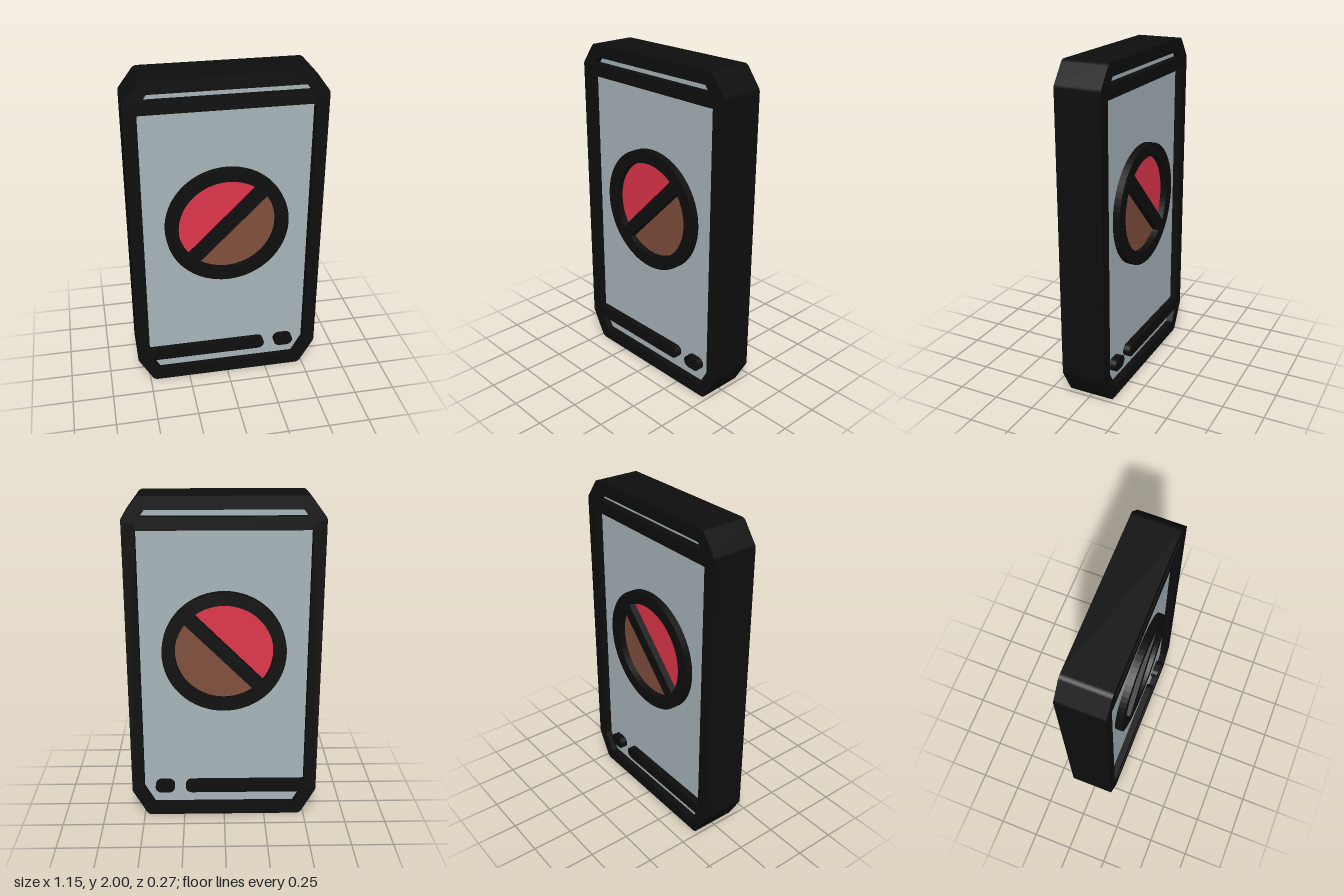
import * as THREE from 'three';

const HALF_DEPTH = 0.137;  // raised black outlines
const PANEL_DEPTH = 0.095; // recessed faces
const R = 0.038;           // half width of the outlines

const paint = (color) => new THREE.MeshStandardMaterial({ color });

// Extrudes a shape evenly to both sides of z = 0
function slab(name, shape, halfDepth, material, curveSegments = 8) {
  const geometry = new THREE.ExtrudeGeometry(shape, { depth: 2 * halfDepth, bevelEnabled: false, curveSegments });
  geometry.translate(0, 0, -halfDepth);
  const mesh = new THREE.Mesh(geometry, material);
  mesh.name = name;
  return mesh;
}

// Outline around a convex counter-clockwise polygon: round outside, mitred inside
function outlineShape(points) {
  const n = points.length;
  const normals = points.map((p, i) => {
    const d = points[(i + 1) % n].clone().sub(p).normalize();
    return new THREE.Vector2(d.y, -d.x);
  });
  const shape = new THREE.Shape();
  const inner = [];
  points.forEach((p, i) => {
    const a = normals[(i + n - 1) % n], b = normals[i];
    shape.absarc(p.x, p.y, R, a.angle(), b.angle(), false);
    inner.push(p.clone().addScaledVector(a.clone().add(b), -R / (1 + a.dot(b))));
  });
  shape.holes.push(new THREE.Path(inner.reverse()));
  return shape;
}

// Horizontal bar with round ends
function barShape(x0, x1, y) {
  const shape = new THREE.Shape();
  shape.absarc(x1, y, R, -Math.PI / 2, Math.PI / 2, false);
  shape.absarc(x0, y, R, Math.PI / 2, Math.PI * 1.5, false);
  return shape;
}

export function createModel() {
  const group = new THREE.Group();
  const black = paint(0x0e0e0e);

  // Chamfered body: pale panel inside a thick frame
  const half = [[0.455, 0.038], [0.535, 0.18], [0.535, 1.862], [0.46, 1.962]];
  const path = [...half, ...half.map(([x, y]) => [-x, y]).reverse()]
    .map(([x, y]) => new THREE.Vector2(x, y));
  group.add(slab('panel', new THREE.Shape(path), PANEL_DEPTH, paint(0xa8b5bb)));
  group.add(slab('frame', outlineShape(path), HALF_DEPTH, black));

  // Cross bars and the short dash
  group.add(slab('topBar', barShape(-0.535, 0.535, 1.847), HALF_DEPTH, black));
  group.add(slab('bottomBar', barShape(-0.535, 0.202, 0.193), HALF_DEPTH, black));
  group.add(slab('dash', barShape(0.346, 0.391, 0.193), HALF_DEPTH, black));

  // Round emblem: two coloured halves, ring and diagonal stripe
  const emblem = new THREE.Group();
  emblem.name = 'emblem';
  emblem.position.y = 1.083;
  const halfDisc = (start) => new THREE.Shape().absarc(0, 0, 0.33, start, start + Math.PI, false);
  emblem.add(slab('upperHalf', halfDisc(Math.PI / 4), PANEL_DEPTH + 0.002, paint(0xe0354b), 32));
  emblem.add(slab('lowerHalf', halfDisc(-Math.PI * 0.75), PANEL_DEPTH + 0.002, paint(0x814f3c), 32));

  const ring = new THREE.Shape().absarc(0, 0, 0.368, 0, Math.PI * 2, false);
  ring.holes.push(new THREE.Path().absarc(0, 0, 0.291, 0, Math.PI * 2, true));
  emblem.add(slab('ring', ring, HALF_DEPTH, black, 32));

  const stripe = new THREE.Mesh(new THREE.BoxGeometry(0.65, 0.079, 2 * HALF_DEPTH), black);
  stripe.name = 'stripe';
  stripe.rotation.z = Math.PI / 4;
  emblem.add(stripe);
  group.add(emblem);

  return group;
}
